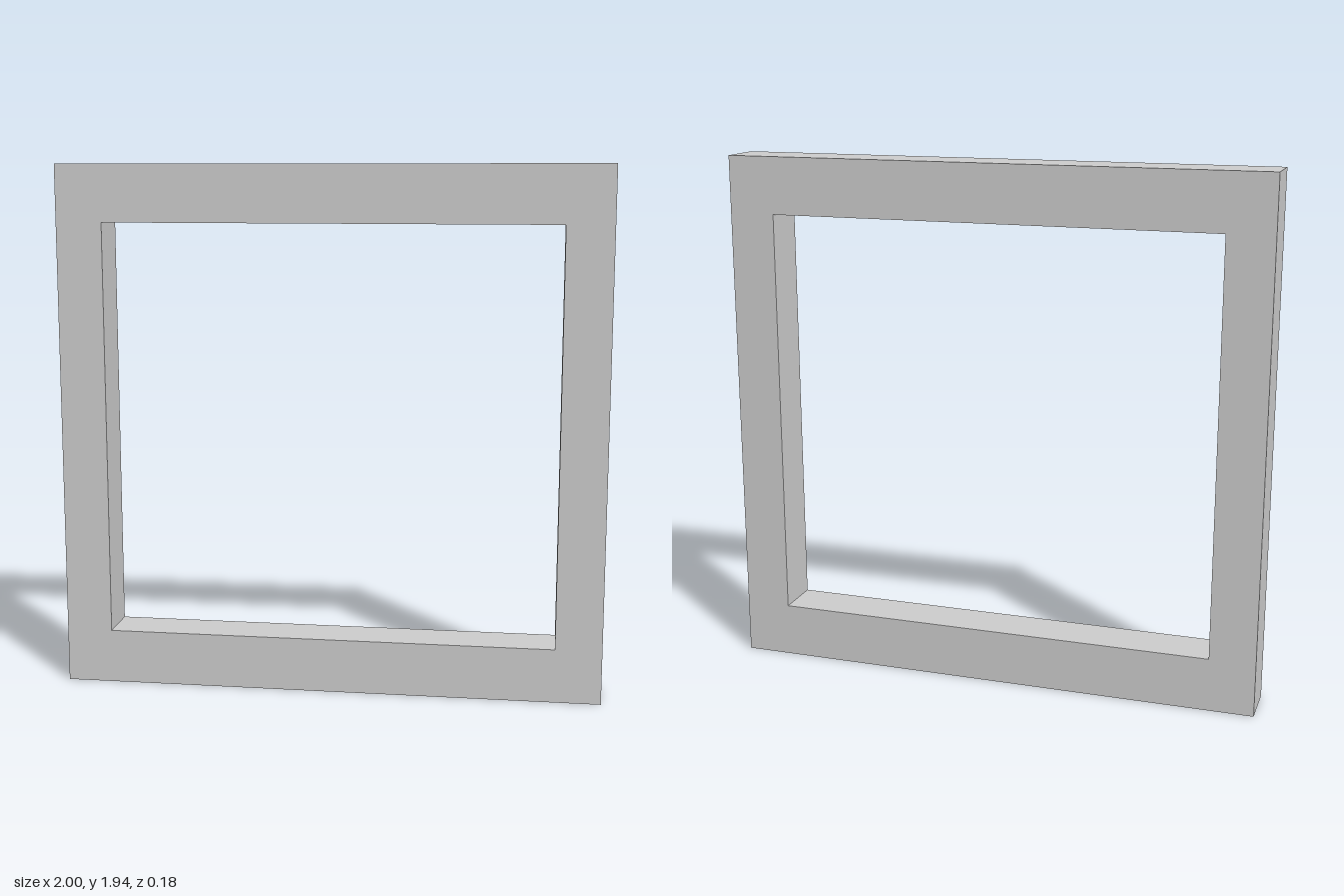
import * as THREE from 'three';

const WIDTH = 2, HEIGHT = 1.94, DEPTH = 0.18;
const OPENING = { x: 0.83, bottom: 0.2, top: 1.73 };

// Closed rectangular outline
function rectangle(path, x0, y0, x1, y1) {
  path.moveTo(x0, y0);
  path.lineTo(x1, y0);
  path.lineTo(x1, y1);
  path.lineTo(x0, y1);
  path.closePath();
  return path;
}

export function createModel() {
  const group = new THREE.Group();
  group.name = 'squareFrame';

  // Outer outline with the window opening cut through
  const shape = rectangle(new THREE.Shape(), -WIDTH / 2, 0, WIDTH / 2, HEIGHT);
  shape.holes.push(
    rectangle(new THREE.Path(), -OPENING.x, OPENING.bottom, OPENING.x, OPENING.top)
  );

  const geometry = new THREE.ExtrudeGeometry(shape, { depth: DEPTH, bevelEnabled: false });
  geometry.translate(0, 0, -DEPTH / 2);

  const material = new THREE.MeshStandardMaterial({ color: 0xcccccc, flatShading: true });
  const frame = new THREE.Mesh(geometry, material);
  frame.name = 'frame';
  group.add(frame);

  return group;
}
